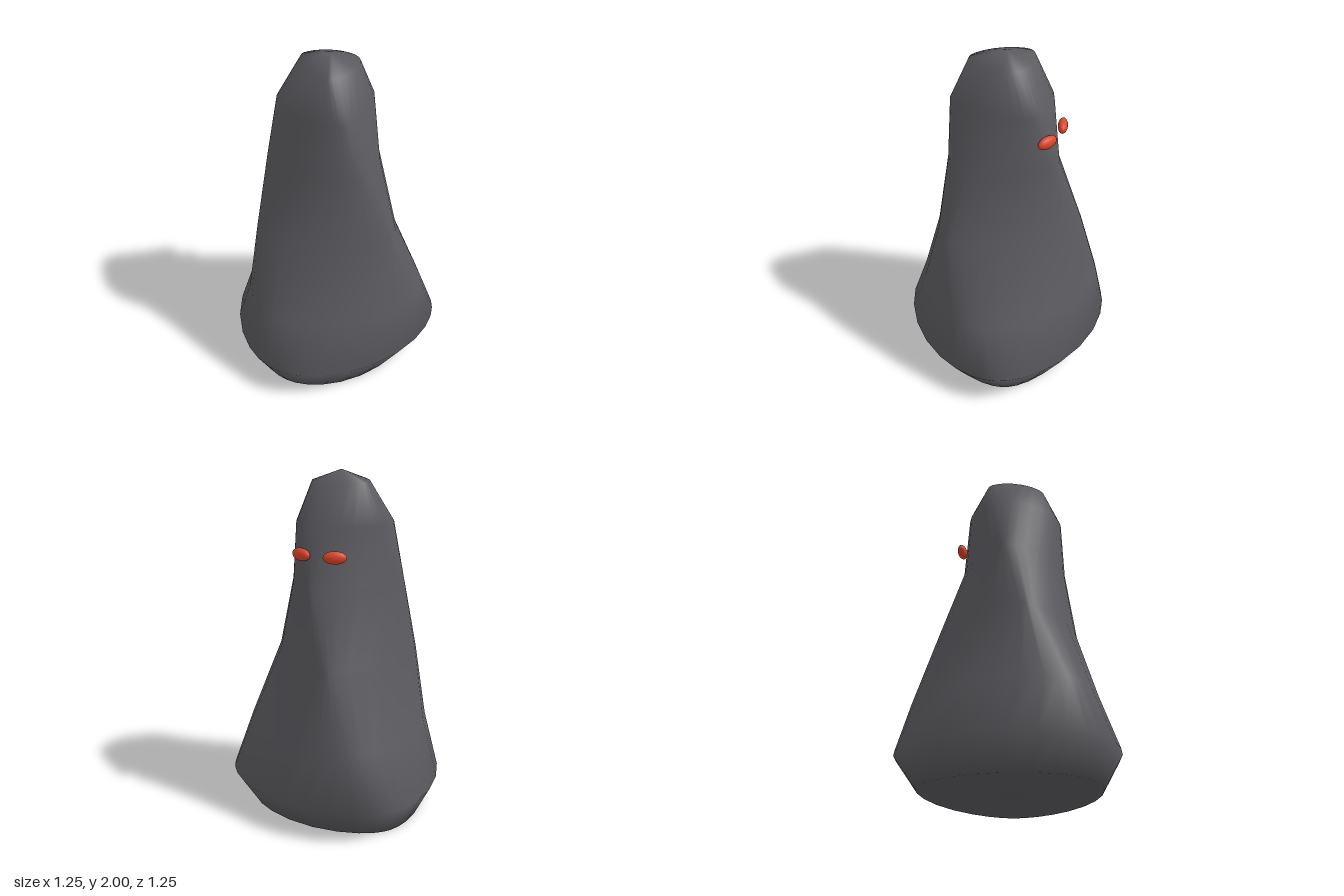
import * as THREE from 'three';

const SEGMENTS = 32;

// Rings: height, then reach from the axis in eight directions,
// starting at +x and turning towards +z in steps of 45 degrees
const RINGS = [
  [0, [0.49, 0.44, 0.51, 0.515, 0.53, 0.57, 0.49, 0.525]],
  [0.19, [0.625, 0.55, 0.62, 0.615, 0.625, 0.69, 0.625, 0.643]],
  [0.5, [0.55, 0.48, 0.51, 0.55, 0.51, 0.595, 0.56, 0.52]],
  [0.95, [0.41, 0.4, 0.35, 0.448, 0.42, 0.45, 0.47, 0.356]],
  [1.38, [0.28, 0.305, 0.275, 0.335, 0.36, 0.315, 0.365, 0.3]],
  [1.72, [0.22, 0.264, 0.26, 0.276, 0.32, 0.307, 0.3, 0.282]],
  [1.94, [0.14, 0.15, 0.17, 0.15, 0.2, 0.21, 0.18, 0.17]],
];

// Smooth outline whose tangents lie at the given reaches: the reach is
// interpolated by harmonics, and its slope shifts each point along the tangent
function ringPoints([y, reach]) {
  const points = [];
  for (let i = 0; i < SEGMENTS; i++) {
    const a = (i / SEGMENTS) * Math.PI * 2;
    let h = 0;
    let slope = 0;
    reach.forEach((r, j) => {
      const d = a - (j * Math.PI) / 4;
      for (let k = 0; k <= 4; k++) {
        const weight = (k === 0 || k === 4 ? r : 2 * r) / 8;
        h += weight * Math.cos(k * d);
        slope -= weight * k * Math.sin(k * d);
      }
    });
    points.push([h * Math.cos(a) - slope * Math.sin(a), y, h * Math.sin(a) + slope * Math.cos(a)]);
  }
  return points;
}

// Loft through the rings, closed by a pole at each end
function bodyGeometry() {
  const n = SEGMENTS;
  const points = RINGS.flatMap(ringPoints);
  const bottom = points.push([-0.02, 0, 0]) - 1;
  const top = points.push([-0.02, 2, -0.03]) - 1;
  const last = (RINGS.length - 1) * n;
  const index = [];
  for (let i = 0; i < n; i++) {
    const j = (i + 1) % n;
    for (let r = 0; r < last; r += n) {
      index.push(r + i, r + n + i, r + j, r + j, r + n + i, r + n + j);
    }
    index.push(bottom, i, j, top, last + j, last + i);
  }
  const geometry = new THREE.BufferGeometry();
  geometry.setAttribute('position', new THREE.Float32BufferAttribute(points.flat(), 3));
  geometry.setIndex(index);
  geometry.computeVertexNormals();
  return geometry;
}

export function createModel() {
  const model = new THREE.Group();
  const charcoal = new THREE.MeshStandardMaterial({ color: 0x5b5b60 });
  charcoal.name = 'charcoal';
  const red = new THREE.MeshStandardMaterial({ color: 0xdc462b });
  red.name = 'red';

  const body = new THREE.Mesh(bodyGeometry(), charcoal);
  body.name = 'body';
  model.add(body);

  // Slanted oval eyes hugging the back of the head
  const eyeGeometry = new THREE.SphereGeometry(1, 20, 14);
  for (const [name, x, z, turn] of [['rightEye', -0.12, -0.328, 0.36], ['leftEye', 0.083, -0.328, -0.36]]) {
    const eye = new THREE.Mesh(eyeGeometry, red);
    eye.name = name;
    eye.scale.set(0.066, 0.036, 0.028);
    eye.position.set(x, 1.567, z);
    eye.rotation.y = turn;
    model.add(eye);
  }
  return model;
}
